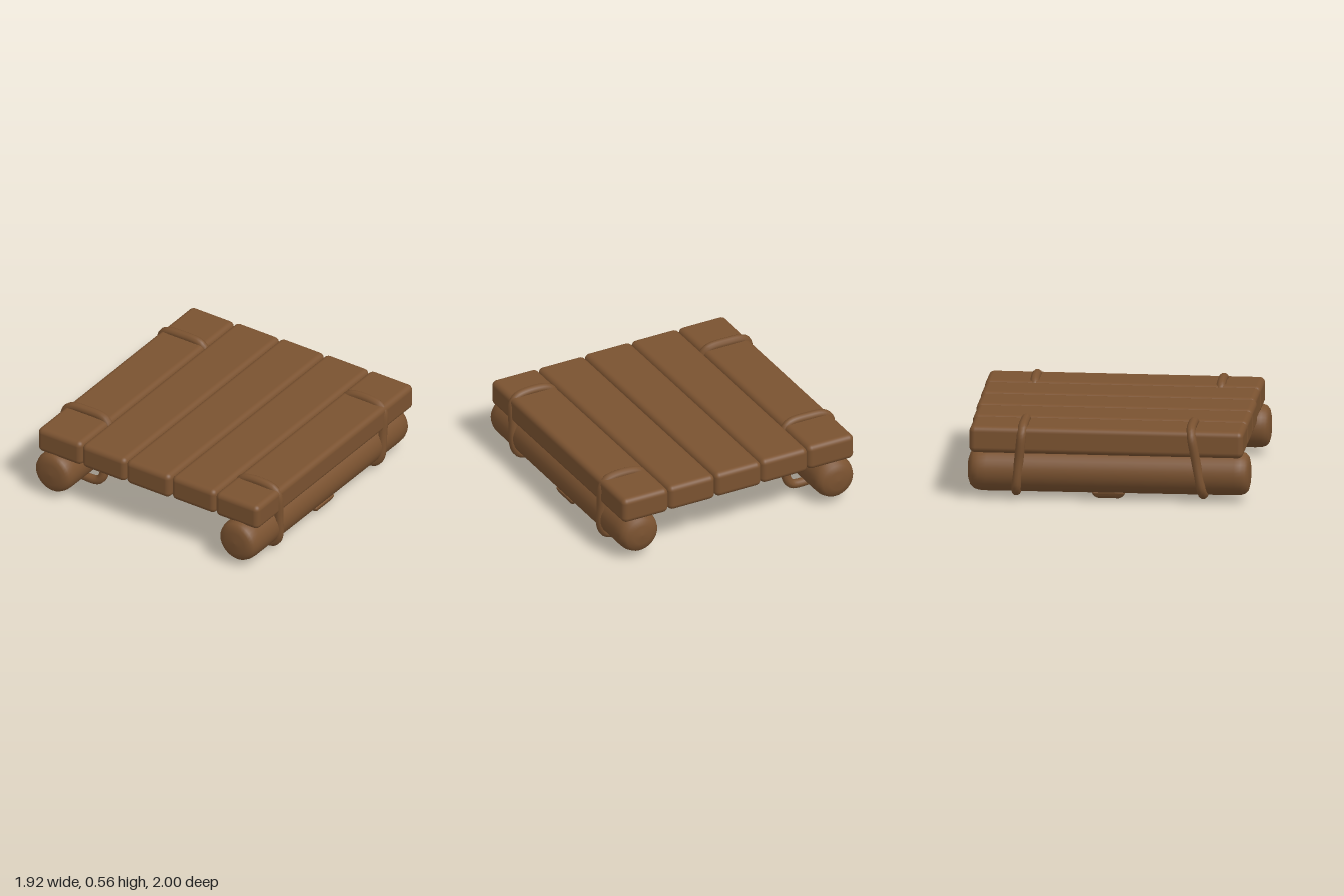
import * as THREE from 'three';
import { RoundedBoxGeometry } from 'three/addons/geometries/RoundedBoxGeometry.js';

const wood = new THREE.MeshStandardMaterial({ color: 0x7a5230 });
wood.name = 'brown wood';

function add(group, name, geometry) {
  const mesh = new THREE.Mesh(geometry, wood);
  mesh.name = name;
  group.add(mesh);
  return mesh;
}

// Closed rope loop through [x, y] points, leaning in z from bottom to top
function ropeLoop(points, zBottom, zTop) {
  const path = points.map(([x, y]) =>
    new THREE.Vector3(x, y, THREE.MathUtils.lerp(zBottom, zTop, y / 0.53)));
  const curve = new THREE.CatmullRomCurve3(path, true, 'centripetal');
  return new THREE.TubeGeometry(curve, 72, 0.033, 10, true);
}

export function createModel() {
  const group = new THREE.Group();
  group.name = 'woodenRaft';

  // Deck planks: left x, right x, back z, front z
  const planks = [
    [-0.925, -0.553, -0.97, 0.955],
    [-0.55, -0.177, -0.98, 0.955],
    [-0.175, 0.197, -0.99, 0.953],
    [0.202, 0.572, -0.995, 0.94],
    [0.575, 0.94, -1.0, 0.942],
  ];
  planks.forEach(([x0, x1, z0, z1], i) => {
    const plank = add(group, 'deckPlank' + (i + 1),
      new RoundedBoxGeometry(x1 - x0, 0.19, z1 - z0, 4, 0.04));
    plank.position.set((x0 + x1) / 2, 0.425, (z0 + z1) / 2);
    plank.rotation.x = 0.004;
  });

  // Supporting logs with rounded ends
  const profile = [
    [0, -0.99], [0.07, -0.985], [0.115, -0.97], [0.14, -0.945], [0.152, -0.91], [0.155, -0.85],
    [0.155, 0.89], [0.152, 0.935], [0.142, 0.965], [0.12, 0.985], [0.08, 0.995], [0, 1.0],
  ].map(([r, y]) => new THREE.Vector2(r, y));
  for (const side of [-1, 1]) {
    const log = add(group, side < 0 ? 'rightLog' : 'leftLog', new THREE.LatheGeometry(profile, 32));
    log.rotation.x = Math.PI / 2;
    log.position.set(side * 0.783, 0.197, 0);
  }

  // Cross brace under the logs, narrower at the bottom
  const brace = new RoundedBoxGeometry(1.72, 0.055, 0.24, 4, 0.02);
  const p = brace.attributes.position;
  for (let i = 0; i < p.count; i++) {
    const t = 0.5 - p.getY(i) / 0.055;
    p.setZ(i, p.getZ(i) * (1 - 0.3 * t * t));
    p.setX(i, p.getX(i) * (1 - 0.03 * t));
  }
  brace.computeVertexNormals();
  add(group, 'crossBrace', brace).position.set(0.02, 0.03, 0);

  // Rope lashings around each outer plank and log
  const rightPath = [
    [-0.915, 0.1], [-0.925, 0.3], [-0.925, 0.47], [-0.885, 0.515], [-0.75, 0.53], [-0.6, 0.518],
    [-0.56, 0.47], [-0.558, 0.3], [-0.562, 0.1], [-0.6, 0.055], [-0.75, 0.05], [-0.87, 0.06],
  ];
  const leftPath = [
    [0.912, 0.12], [0.92, 0.3], [0.915, 0.47], [0.88, 0.51], [0.75, 0.528], [0.63, 0.508],
    [0.592, 0.46], [0.58, 0.3], [0.582, 0.12], [0.63, 0.075], [0.74, 0.05], [0.87, 0.06],
  ];
  add(group, 'rightFrontLashing', ropeLoop(rightPath, 0.68, 0.585));
  add(group, 'rightBackLashing', ropeLoop(rightPath, -0.65, -0.595));
  add(group, 'leftFrontLashing', ropeLoop(leftPath, 0.635, 0.658));
  add(group, 'leftBackLashing', ropeLoop(leftPath, -0.615, -0.655));

  return group;
}
